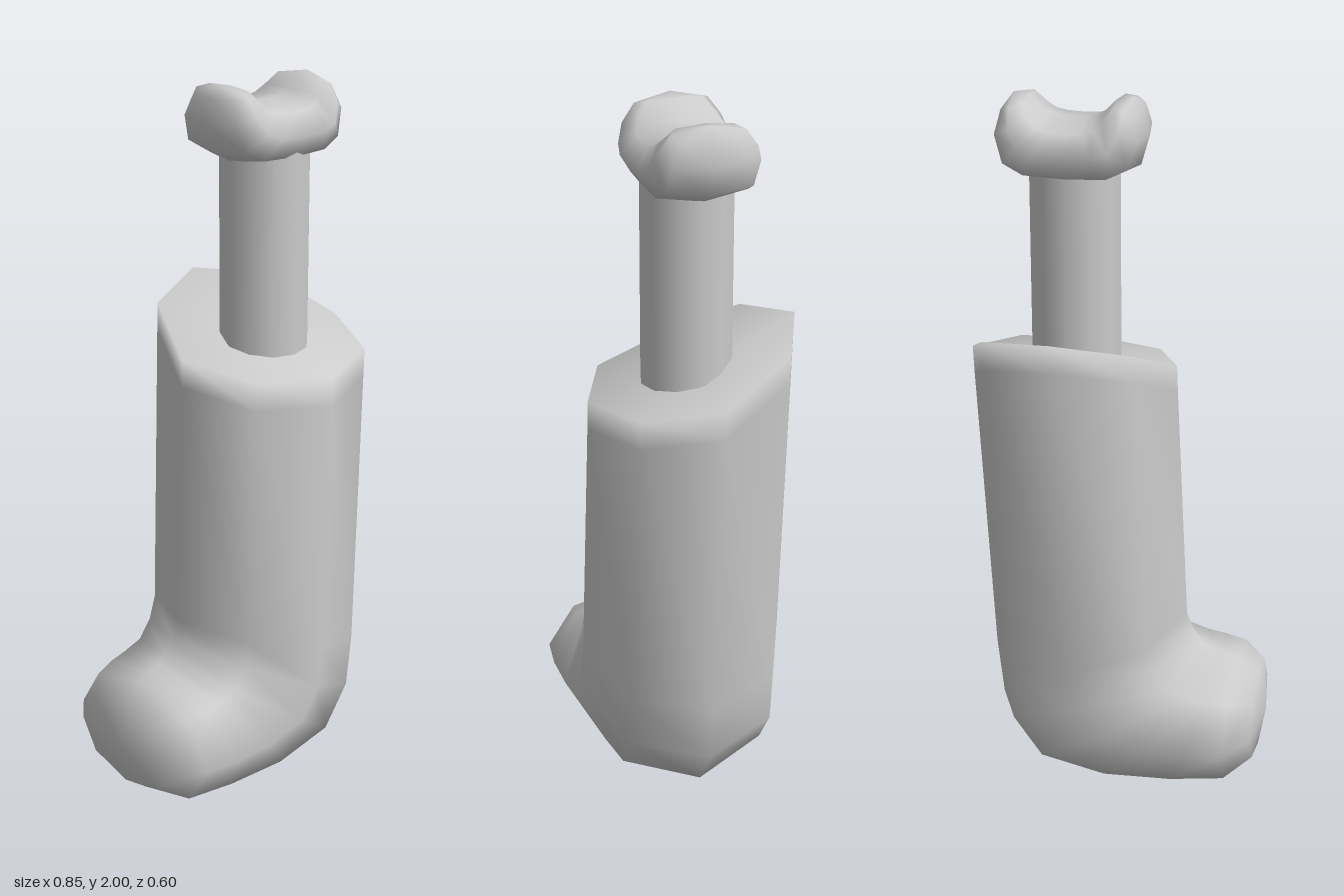
import * as THREE from 'three';

const SIDES = 8;

// Skin a row of oval rings. Each ring: [innerX, innerY, outerX, outerY, halfDepth, centreZ, tilt?].
// A ring with no depth is a single closing point. "round" below 1 makes the ovals boxier.
function loft(rings, round = 1) {
  const pos = [], index = [], ids = [];
  const bend = v => (Math.abs(v) < 1e-6 ? 0 : Math.sign(v) * Math.abs(v) ** round);
  for (const [ix, iy, ox, oy, depth, cz, tilt] of rings) {
    const row = [];
    for (let k = 0; k < SIDES; k++) {
      if (depth === 0 && k > 0) { row.push(row[0]); continue; }
      const t = (k / SIDES) * Math.PI * 2;
      const c = depth ? bend(Math.cos(t)) : 0, z = depth * bend(Math.sin(t));
      const x = (ix + ox) / 2 + ((ox - ix) / 2) * c;
      const y = (iy + oy) / 2 + ((oy - iy) / 2) * c + (tilt ? tilt(z) : 0);
      row.push(pos.length / 3);
      pos.push(x, y, z + cz);
    }
    ids.push(row);
  }
  for (let r = 0; r < ids.length - 1; r++) {
    for (let k = 0; k < SIDES; k++) {
      const n = (k + 1) % SIDES;
      const a = ids[r][k], b = ids[r][n], c = ids[r + 1][k], d = ids[r + 1][n];
      if (a !== b) index.push(a, b, c);
      if (c !== d) index.push(b, d, c);
    }
  }
  const g = new THREE.BufferGeometry();
  g.setAttribute('position', new THREE.Float32BufferAttribute(pos, 3));
  g.setIndex(index);
  g.computeVertexNormals();
  return g;
}

export function createModel() {
  const group = new THREE.Group();
  const material = new THREE.MeshStandardMaterial({ color: 0xcccccc });
  const add = (name, geometry) => {
    const mesh = new THREE.Mesh(geometry, material);
    mesh.name = name;
    group.add(mesh);
    return mesh;
  };

  // Leg: slanted cut at the top, straight shaft, then a bend into the rounded foot
  const slant = z => (z > 0 ? -0.17 : -0.47) * z;
  add('leg', loft([
    [0.13, 1.285, 0.13, 1.285, 0, -0.015],
    [-0.155, 1.265, 0.42, 1.28, 0.29, -0.015, slant],
    [-0.158, 1.19, 0.417, 1.2, 0.29, -0.014, slant],
    [-0.19, 0.5, 0.378, 0.35, 0.293, 0],
    [-0.21, 0.45, 0.36, 0.18, 0.294, 0],
    [-0.24, 0.41, 0.27, 0.05, 0.294, 0],
    [-0.27, 0.395, 0.06, 0.003, 0.295, 0.002],
    [-0.30, 0.38, -0.16, 0.01, 0.293, 0.006],
    [-0.34, 0.365, -0.33, 0.025, 0.275, 0.012],
    [-0.4, 0.32, -0.405, 0.08, 0.195, 0.018],
    [-0.425, 0.2, -0.425, 0.2, 0, 0.02],
  ]));

  // Bone shaft
  const shaft = add('boneShaft', new THREE.CylinderGeometry(0.125, 0.125, 0.66, 12, 1));
  shaft.position.set(0.128, 1.51, 0);

  // Bone knuckle: a short U-shaped bar, right half mirrored to the left
  const mid = 0.128, cz = -0.006;
  const half = [
    [0.16, 1.998, 0.16, 1.998, 0, cz],
    [0.115, 1.99, 0.185, 1.965, 0.1, cz],
    [0.085, 1.96, 0.203, 1.9, 0.135, cz],
    [0.06, 1.947, 0.18, 1.82, 0.152, cz],
    [0.035, 1.942, 0.12, 1.79, 0.16, cz],
  ];
  const side = s => half.map(([ix, iy, ox, oy, d, z]) => [mid + s * ix, iy, mid + s * ox, oy, d, z]);
  add('boneKnuckle', loft([
    ...side(1),
    [mid, 1.94, mid, 1.785, 0.16, cz],
    ...side(-1).reverse(),
  ], 0.78));

  return group;
}
